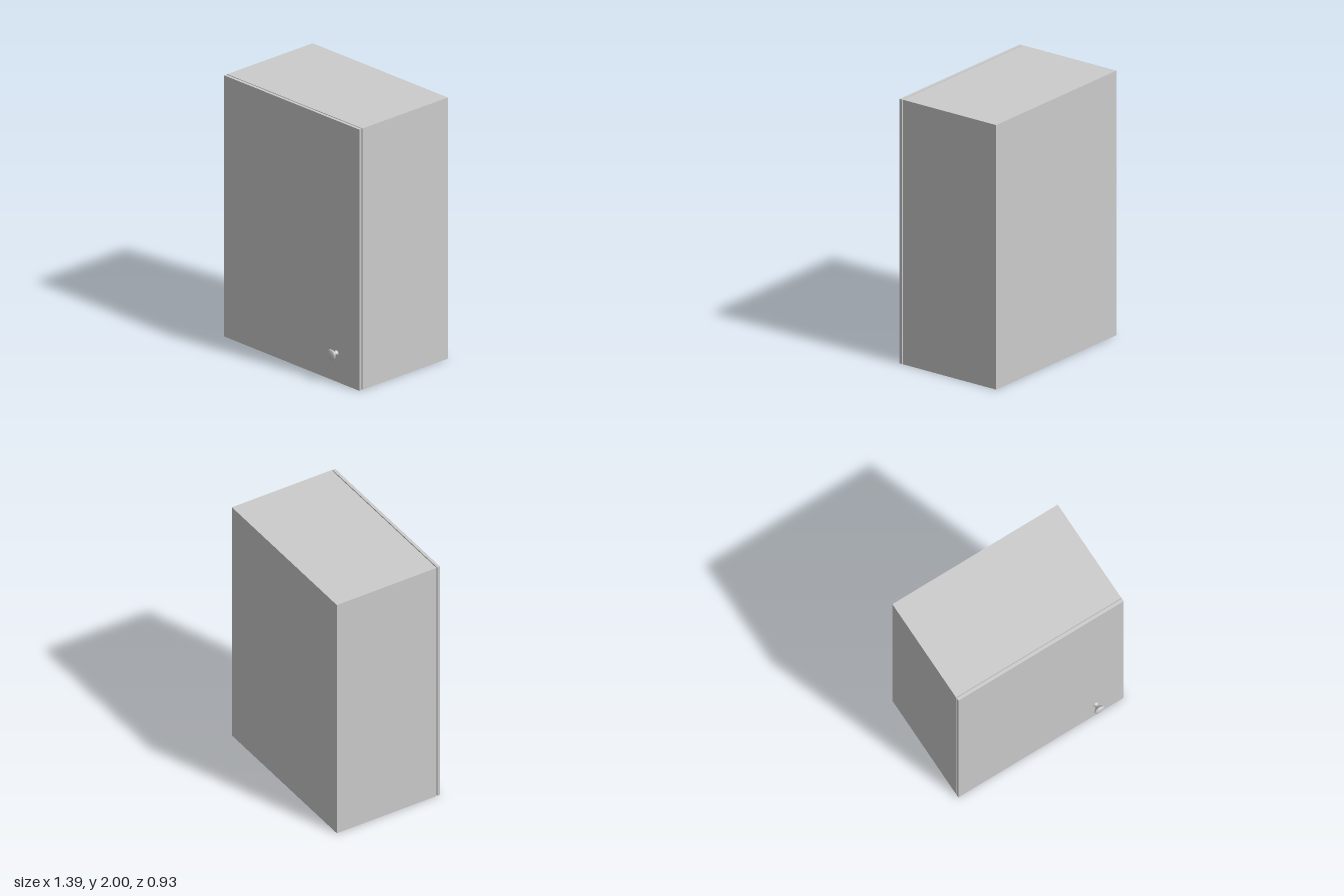
import * as THREE from 'three';

const WIDTH = 1.39, HEIGHT = 2;
const BACK = -0.465, CARCASS_FRONT = 0.37, DOOR_BACK = 0.377, DOOR_FRONT = 0.4;

export function createModel() {
  const group = new THREE.Group();
  group.name = 'wallCabinet';
  const material = new THREE.MeshStandardMaterial({ color: 0xcccccc });

  // Full-size slab between two depths
  const addSlab = (name, z0, z1) => {
    const mesh = new THREE.Mesh(new THREE.BoxGeometry(WIDTH, HEIGHT, z1 - z0), material);
    mesh.name = name;
    mesh.position.set(0, HEIGHT / 2, (z0 + z1) / 2);
    group.add(mesh);
  };

  // Cabinet body and door, with a narrow gap between them
  addSlab('carcass', BACK, CARCASS_FRONT);
  addSlab('door', DOOR_BACK, DOOR_FRONT);

  // Turned knob: flared foot, thin neck, wide head with a shallow dome
  const profile = [
    [0.02, 0], [0.018, 0.006], [0.015, 0.013], [0.015, 0.019], [0.02, 0.027],
    [0.03, 0.037], [0.038, 0.045], [0.0415, 0.05], [0.041, 0.055],
    [0.036, 0.059], [0.025, 0.062], [0.012, 0.0645], [0, 0.065],
  ].map(([r, h]) => new THREE.Vector2(r, h));
  const knob = new THREE.Mesh(new THREE.LatheGeometry(profile, 32), material);
  knob.name = 'knob';
  knob.rotation.x = Math.PI / 2;
  knob.position.set(0.46, 0.22, DOOR_FRONT);
  group.add(knob);

  return group;
}
